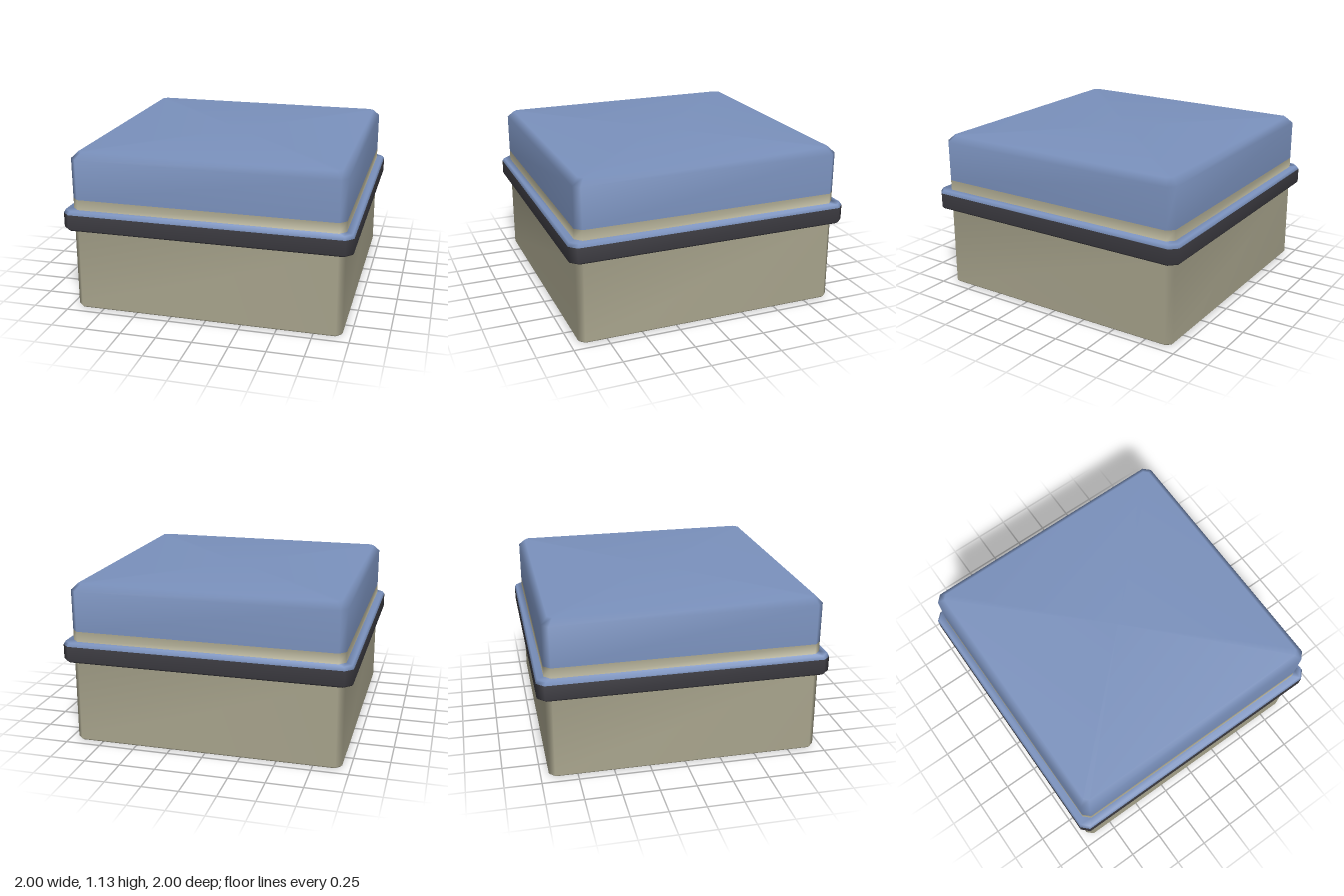
import * as THREE from 'three';

const mat = (name, color) => {
  const m = new THREE.MeshStandardMaterial({ color });
  m.name = name;
  return m;
};

// Square ring with cut corners, counter-clockwise seen from above
function ring(half, cut, y) {
  const k = half - cut;
  return [[half, k], [half, -k], [k, -half], [-k, -half], [-half, -k], [-half, k], [-k, half], [k, half]]
    .flatMap(([x, z]) => [x, y, z]);
}

export function createModel() {
  const group = new THREE.Group();
  const blue = mat('blue paint', 0x7b92be);
  const beige = mat('beige body', 0xaba78f);
  const dark = mat('dark rubber', 0x3b3a40);

  // Profile from bottom to top: half width, corner cut, height
  const profile = [
    [0.93, 0.03, 0], [0.945, 0.04, 0.015], [0.945, 0.045, 0.597],
    [0.99, 0.05, 0.597], [1, 0.05, 0.61], [1, 0.05, 0.712],
    [0.988, 0.05, 0.735], [0.945, 0.045, 0.735],
    [0.945, 0.045, 0.807], [0.945, 0.045, 1.09], [0.9, 0.03, 1.135],
  ];
  const positions = profile.flatMap((p) => ring(...p));
  const top = profile.length * 8;
  positions.push(0, 1.135, 0);

  // Side faces between neighbouring rings
  const sides = (from, to) => {
    const index = [];
    for (let i = from; i < to; i++) {
      for (let j = 0; j < 8; j++) {
        const a = i * 8 + j, b = i * 8 + (j + 1) % 8;
        index.push(a, b, b + 8, a, b + 8, a + 8);
      }
    }
    return index;
  };
  const cap = [];
  for (let j = 0; j < 8; j++) cap.push(top, top - 8 + j, top - 8 + (j + 1) % 8);

  // Shared smooth normals keep the shading continuous from part to part
  const hull = new THREE.BufferGeometry();
  hull.setAttribute('position', new THREE.Float32BufferAttribute(positions, 3));
  hull.setIndex([...sides(0, profile.length - 1), ...cap]);
  hull.computeVertexNormals();

  const add = (name, index, material) => {
    const g = new THREE.BufferGeometry();
    g.setAttribute('position', hull.attributes.position);
    g.setAttribute('normal', hull.attributes.normal);
    g.setIndex(index);
    const mesh = new THREE.Mesh(g, material);
    mesh.name = name;
    group.add(mesh);
  };
  add('base', sides(0, 2), beige);
  add('rim', sides(2, 5), dark);
  add('rimTop', sides(5, 7), blue);
  add('neckBand', sides(7, 8), beige);
  add('lid', [...sides(8, 10), ...cap], blue);

  // Flat underside
  const k = 0.9, h = 0.93;
  const shape = new THREE.Shape([[h, k], [k, h], [-k, h], [-h, k], [-h, -k], [-k, -h], [k, -h], [h, -k]]
    .map(([x, y]) => new THREE.Vector2(x, y)));
  const bottom = new THREE.Mesh(new THREE.ShapeGeometry(shape).rotateX(Math.PI / 2), beige);
  bottom.name = 'underside';
  group.add(bottom);
  return group;
}
